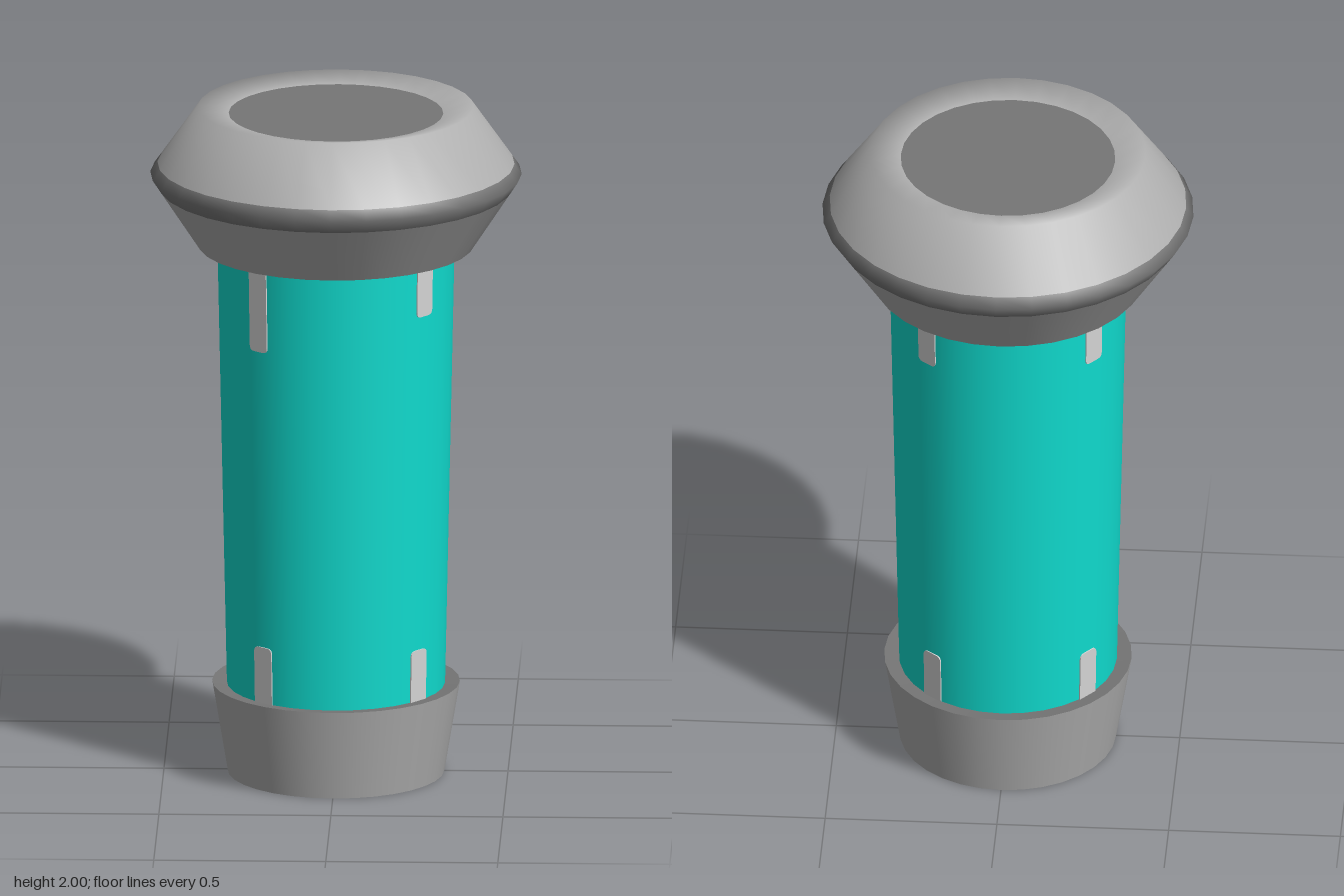
import * as THREE from 'three';

const material = (name, color) => {
  const m = new THREE.MeshStandardMaterial({ color });
  m.name = name;
  return m;
};

export function createModel() {
  const group = new THREE.Group();
  const grey = material('light grey metal', 0xaeaeae);
  const darkGrey = material('dark grey metal', 0x767676);
  const teal = material('teal', 0x10dccf);
  const pale = material('pale marking', 0xd6d6d6);

  // Turned ring; profile runs from bottom to top as [radius, height]
  const turn = (name, mat, profile) => {
    const points = profile.map(([r, y]) => new THREE.Vector2(r, y));
    const mesh = new THREE.Mesh(new THREE.LatheGeometry(points, 32), mat);
    mesh.name = name;
    group.add(mesh);
  };

  // Foot
  turn('footUnderside', grey, [[0, 0], [0.315, 0]]);
  turn('foot', grey, [[0.315, 0], [0.36, 0.27]]);
  turn('footLedge', darkGrey, [[0.36, 0.27], [0.31, 0.265]]);

  // Tapered body
  const r0 = 0.317, r1 = 0.345, y0 = 0.26, y1 = 1.6;
  turn('body', teal, [[r0, y0], [r1, y1]]);

  // Flared collar with a dark band around its widest edge
  turn('collarUnderside', darkGrey, [[0.34, 1.585], [0.4, 1.585]]);
  turn('collarLower', grey, [[0.4, 1.585], [0.514, 1.76]]);
  turn('collarBand', darkGrey, [[0.514, 1.76], [0.54, 1.8], [0.519, 1.83]]);
  turn('collarUpper', grey, [[0.519, 1.83], [0.4, 2], [0.312, 1.98]]);
  turn('topDisc', darkGrey, [[0.312, 1.98], [0, 1.98]]);

  // Thin upright marking with rounded ends, leaning with the body
  const marking = (name, angle, bottom, top) => {
    const w = 0.033, h = (top - bottom) / 2, c = 0.016;
    const shape = new THREE.Shape();
    shape.moveTo(-w + c, -h);
    shape.lineTo(w - c, -h);
    shape.quadraticCurveTo(w, -h, w, -h + c);
    shape.lineTo(w, h - c);
    shape.quadraticCurveTo(w, h, w - c, h);
    shape.lineTo(-w + c, h);
    shape.quadraticCurveTo(-w, h, -w, h - c);
    shape.lineTo(-w, -h + c);
    shape.quadraticCurveTo(-w, -h, -w + c, -h);
    const geometry = new THREE.ExtrudeGeometry(shape, { depth: 0.006, bevelEnabled: false, curveSegments: 4 });
    const mid = (bottom + top) / 2;
    const radius = r0 + (r1 - r0) * (mid - y0) / (y1 - y0);
    geometry.rotateX(Math.atan((r1 - r0) / (y1 - y0)));
    geometry.translate(0, mid, radius - 0.004);
    geometry.rotateY(angle);
    const mesh = new THREE.Mesh(geometry, pale);
    mesh.name = name;
    group.add(mesh);
  };

  // Four pairs of markings; the front right pair is longer
  const start = Math.atan2(0.265, 0.22);
  for (let i = 0; i < 4; i++) {
    const angle = start + i * Math.PI / 2;
    const long = i === 3;
    marking('upperMarking', angle, long ? 1.33 : 1.43, 1.6);
    marking('lowerMarking', angle, 0.25, long ? 0.435 : 0.42);
  }
  return group;
}
